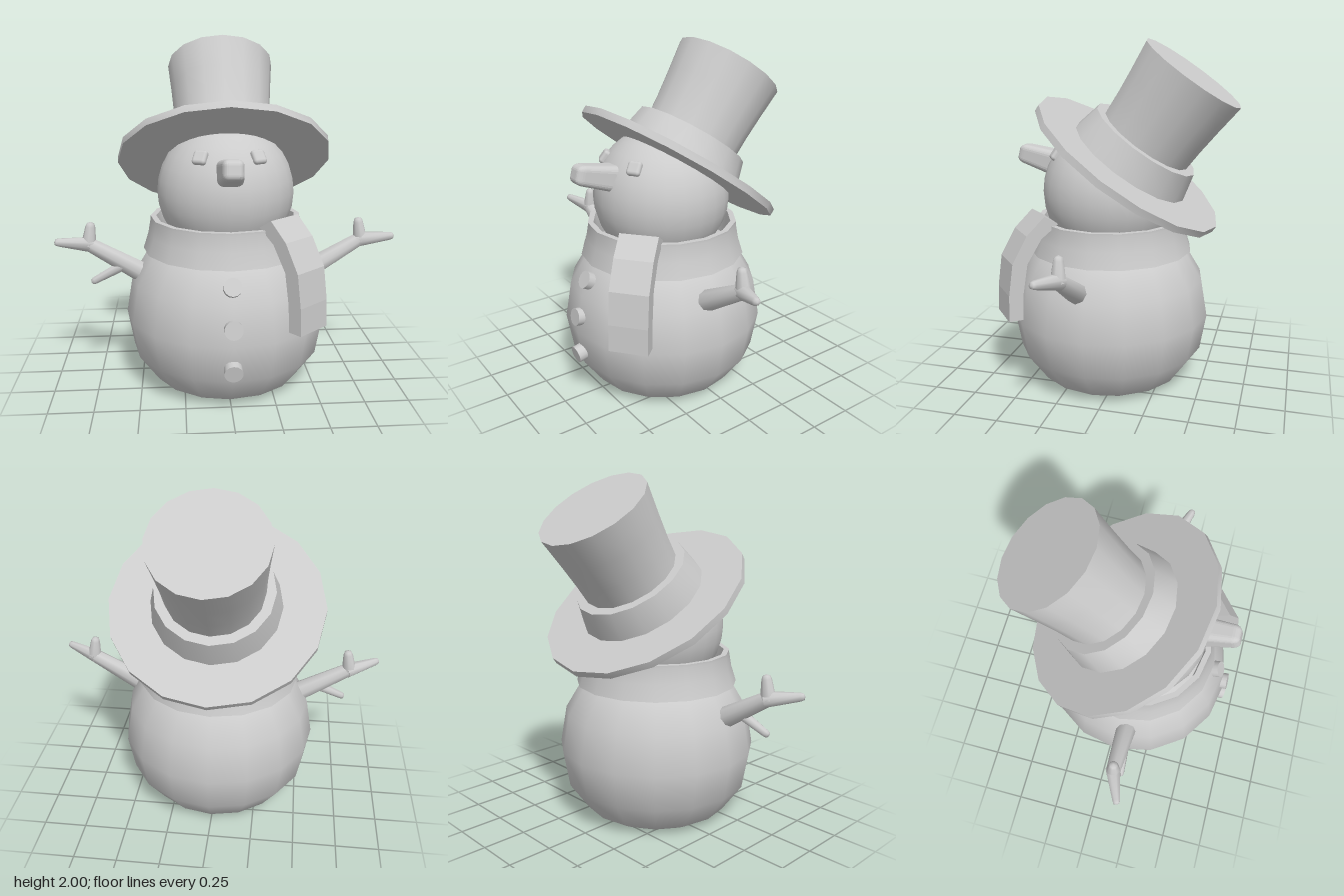
import * as THREE from 'three';
import { toCreasedNormals } from 'three/addons/utils/BufferGeometryUtils.js';
import { RoundedBoxGeometry } from 'three/addons/geometries/RoundedBoxGeometry.js';

const material = new THREE.MeshStandardMaterial({ color: 0xcccccc });
const AXIS_Z = 0.065; // depth of the body's vertical axis
const SIDES = 16;
const V = (x, y, z) => new THREE.Vector3(x, y, z);

function add(parent, name, geometry, x = 0, y = 0, z = 0) {
  const mesh = new THREE.Mesh(geometry, material);
  mesh.name = name;
  mesh.position.set(x, y, z);
  parent.add(mesh);
  return mesh;
}

// Revolved profile, listed from the bottom up
const lathe = (points, sides = SIDES) =>
  new THREE.LatheGeometry(points.map(([r, y]) => new THREE.Vector2(r, y)), sides);
const creasedLathe = (points) => toCreasedNormals(lathe(points), 0.6);

// Tapered stick with a rounded tip, running from a to b
function stick(parent, name, a, b, r0, r1) {
  const length = a.distanceTo(b);
  const geometry = lathe([
    [0, 0], [r0, 0], [r1, length - r1], [r1 * 0.75, length - r1 * 0.3], [0, length],
  ], 8);
  const mesh = add(parent, name, toCreasedNormals(geometry, 1.0), a.x, a.y, a.z);
  mesh.quaternion.setFromUnitVectors(V(0, 1, 0), b.clone().sub(a).normalize());
}

function makeHat() {
  const hat = new THREE.Group();
  hat.name = 'hat';
  add(hat, 'hatBrim', creasedLathe([[0, -0.02], [0.615, -0.02], [0.615, 0.02], [0, 0.02]]));
  add(hat, 'hatBand', creasedLathe([[0.375, 0.015], [0.335, 0.178], [0.25, 0.178]]));
  add(hat, 'hatCrown', creasedLathe([
    [0.28, 0.015], [0.281, 0.18], [0.287, 0.3], [0.3, 0.45], [0.319, 0.631], [0, 0.631],
  ]));
  hat.position.set(0, 1.3, -0.043);
  hat.rotation.x = -0.617;
  return hat;
}

function makeArm(side) {
  const arm = new THREE.Group();
  arm.name = side > 0 ? 'leftArm' : 'rightArm';
  const p = (x, y, z) => V(side * x, y, z);
  stick(arm, 'forearm', p(0.49, 0.665, 0.115), p(0.81, 0.855, 0.115), 0.06, 0.042);
  stick(arm, 'upperFinger', p(0.785, 0.835, 0.115), p(0.767, 0.97, 0.115), 0.043, 0.028);
  stick(arm, 'outerFinger', p(0.77, 0.835, 0.11), p(0.965, 0.875, 0.185), 0.045, 0.023);
  // Only the right arm carries a side twig
  if (side < 0) stick(arm, 'twig', p(0.6, 0.71, 0.13), p(0.775, 0.622, 0.15), 0.032, 0.022);
  return arm;
}

function makeScarfTail() {
  // Side outline: distance from the body axis, height
  const outline = [
    [0.45, 1.05], [0.555, 0.95], [0.64, 0.8], [0.665, 0.62], [0.67, 0.47],
    [0.59, 0.47], [0.583, 0.62], [0.555, 0.79], [0.47, 0.925], [0.37, 1.0],
  ].map(([u, y]) => new THREE.Vector2(u, y));
  const geometry = new THREE.ExtrudeGeometry(new THREE.Shape(outline), {
    depth: 0.216, bevelEnabled: false,
  });
  geometry.translate(0, 0, -0.108);
  geometry.rotateY(-THREE.MathUtils.degToRad(50));
  return geometry;
}

export function createModel() {
  const model = new THREE.Group();
  model.name = 'snowman';

  // Body, flattened where it stands
  add(model, 'body', lathe([
    [0, 0], [0.36, 0.005], [0.43, 0.045], [0.545, 0.205], [0.582, 0.415],
    [0.545, 0.63], [0.45, 0.79], [0.3, 0.92], [0, 0.98],
  ]), 0, 0, AXIS_Z);

  // Head and face
  add(model, 'head', new THREE.SphereGeometry(0.39, 24, 16), 0, 1.135, 0.07);
  for (const side of [-1, 1]) {
    const eye = add(model, side > 0 ? 'leftEye' : 'rightEye',
      new RoundedBoxGeometry(0.08, 0.08, 0.05, 2, 0.018), side * 0.153, 1.363, 0.342);
    eye.lookAt(side * 0.306, 1.585, 0.614);
  }

  // Nose: rounded block narrowing towards its tip
  const nose = new RoundedBoxGeometry(0.15, 0.15, 0.3, 3, 0.04);
  const pos = nose.attributes.position;
  for (let i = 0; i < pos.count; i++) {
    const t = pos.getZ(i) / 0.3 + 0.5;
    const s = 1.06 - 0.36 * t;
    pos.setXY(i, pos.getX(i) * s, pos.getY(i) * s);
  }
  nose.computeVertexNormals();
  add(model, 'nose', nose, 0, 1.309, 0.477).rotation.x = -0.25;

  model.add(makeHat());

  // Scarf collar and hanging end
  add(model, 'scarfCollar', creasedLathe([
    [0.4, 0.8], [0.476, 0.8], [0.447, 0.89], [0.432, 0.975], [0.432, 0.99],
    [0.4, 0.99], [0.39, 0.9], [0.4, 0.8],
  ]), 0, 0, AXIS_Z);
  add(model, 'scarfTail', makeScarfTail(), 0, 0, AXIS_Z);

  // Buttons follow the slope of the belly: height, depth, tilt
  for (const [y, z, tilt] of [[0.715, 0.56, -0.5], [0.513, 0.625, -0.17], [0.285, 0.63, 0.2]]) {
    const button = new THREE.CylinderGeometry(0.05, 0.05, 0.07, 14);
    button.rotateX(Math.PI / 2);
    add(model, 'button', button, 0, y, z).rotation.x = tilt;
  }

  for (const side of [-1, 1]) model.add(makeArm(side));
  return model;
}
